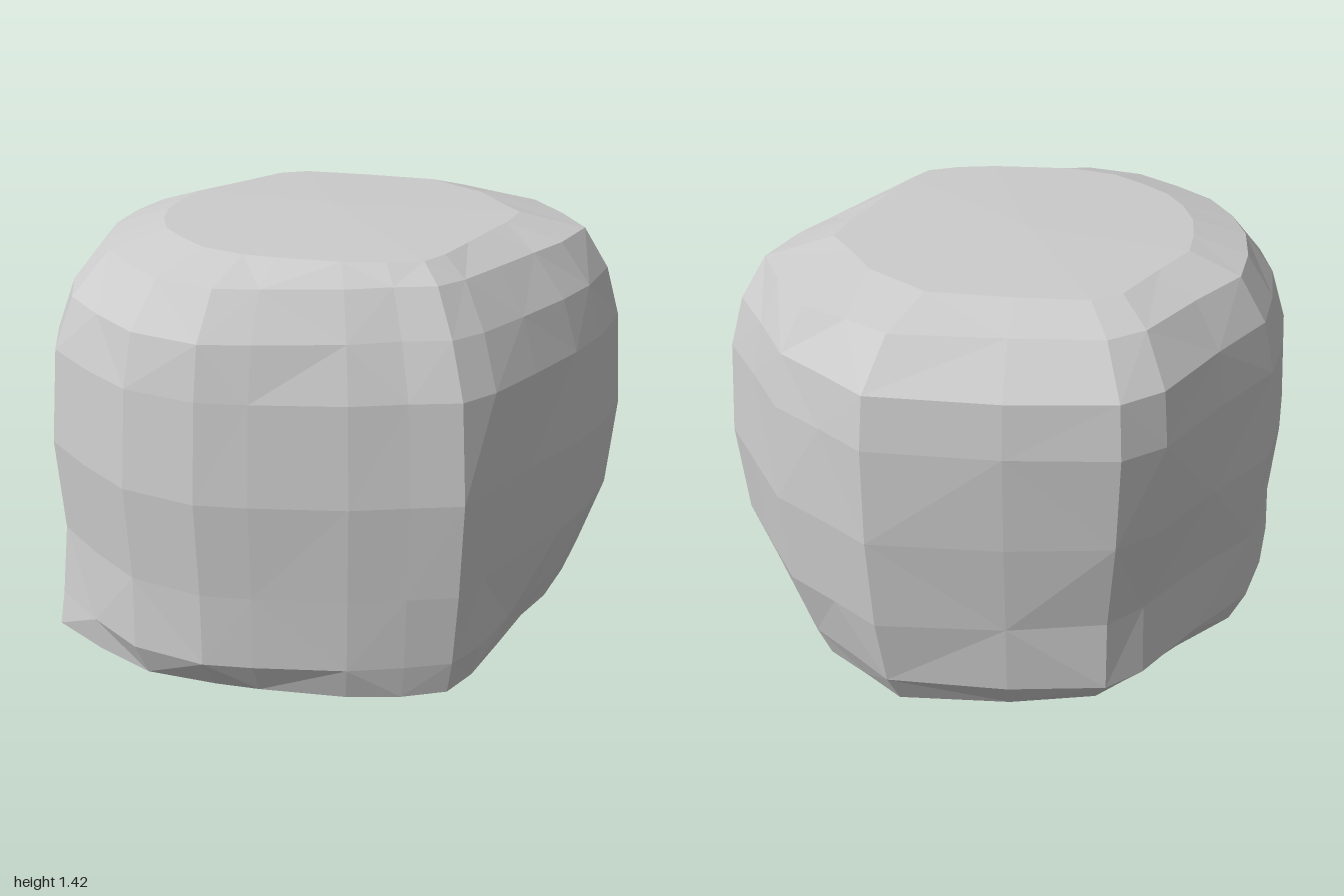
import * as THREE from 'three';

// Widest plan outline of the boulder, [x, z], running from the right side towards the front
const OUTLINE = [
  [1, 0.08], [1, 0.32], [0.83, 0.5], [0.67, 0.62], [0.46, 0.76], [0.27, 0.88], [0.14, 0.93],
  [-0.02, 0.89], [-0.2, 0.85], [-0.48, 0.74], [-0.63, 0.67], [-0.82, 0.5], [-0.92, 0.29], [-1, 0.07],
  [-0.95, -0.16], [-0.84, -0.36], [-0.68, -0.54], [-0.52, -0.69], [-0.25, -0.79], [0.04, -0.92],
  [0.2, -0.93], [0.5, -0.77], [0.85, -0.54], [0.92, -0.36], [1, -0.17],
];

// Ring heights, and the scale of the outline at each height for eight directions
const HEIGHTS = [0, 0.03, 0.15, 0.4, 0.72, 1.04, 1.21, 1.35, 1.405];
const PROFILES = [
  [0.82, 0.86, 0.90, 0.98, 1, 0.97, 0.93, 0.87, 0.62], // right
  [0.78, 0.84, 0.89, 0.97, 1, 0.98, 0.92, 0.80, 0.64], // front right
  [0.90, 0.96, 0.98, 0.99, 1, 0.96, 0.88, 0.79, 0.72], // front
  [0.80, 0.89, 0.98, 0.98, 1, 0.97, 0.94, 0.83, 0.62], // front left
  [0.94, 1.00, 0.97, 0.94, 0.96, 0.93, 0.86, 0.73, 0.54], // left
  [0.86, 0.92, 0.97, 0.97, 1, 0.98, 0.93, 0.83, 0.62], // back left
  [0.68, 0.80, 0.92, 0.90, 0.97, 1, 0.97, 0.84, 0.68], // back
  [0.80, 0.88, 0.95, 0.98, 1, 1.00, 0.98, 0.82, 0.64], // back right
];

function scaleAt(x, z, ring) {
  const turn = ((Math.atan2(z, x) / (Math.PI * 2) + 1) % 1) * 8;
  const k = Math.floor(turn);
  const s = THREE.MathUtils.lerp(PROFILES[k % 8][ring], PROFILES[(k + 1) % 8][ring], turn - k);
  // shallow hollow under the ledge, beside the front ridge
  const hollow = x > 0.2 && x < 0.5 && z > 0.7 && ring > 2 && ring < 5;
  return hollow ? s - 0.03 : s;
}

function boulderGeometry() {
  const n = OUTLINE.length;
  const rings = HEIGHTS.length;
  const positions = [];
  const index = [];
  HEIGHTS.forEach((y, ring) => {
    for (const [x, z] of OUTLINE) {
      const s = scaleAt(x, z, ring);
      positions.push(x * s, y, z * s);
    }
  });
  const bottom = rings * n;
  const top = bottom + 1;
  positions.push(0, 0, 0, 0.05, 1.42, -0.05);

  for (let j = 0; j < n; j++) {
    const next = (j + 1) % n;
    // side faces
    for (let i = 0; i < rings - 1; i++) {
      const a = i * n + j, b = i * n + next, c = a + n, d = b + n;
      if ((i + j) % 2) index.push(a, c, b, b, c, d);
      else index.push(a, c, d, a, d, b);
    }
    // flat underside and slightly domed top
    const last = (rings - 1) * n;
    index.push(bottom, j, next, top, last + next, last + j);
  }
  const geometry = new THREE.BufferGeometry();
  geometry.setAttribute('position', new THREE.Float32BufferAttribute(positions, 3));
  geometry.setIndex(index);
  geometry.computeVertexNormals();
  return geometry;
}

export function createModel() {
  const model = new THREE.Group();
  model.name = 'rock';
  const material = new THREE.MeshStandardMaterial({ color: 0xcccccc, flatShading: true });
  const boulder = new THREE.Mesh(boulderGeometry(), material);
  boulder.name = 'boulder';
  model.add(boulder);
  return model;
}
